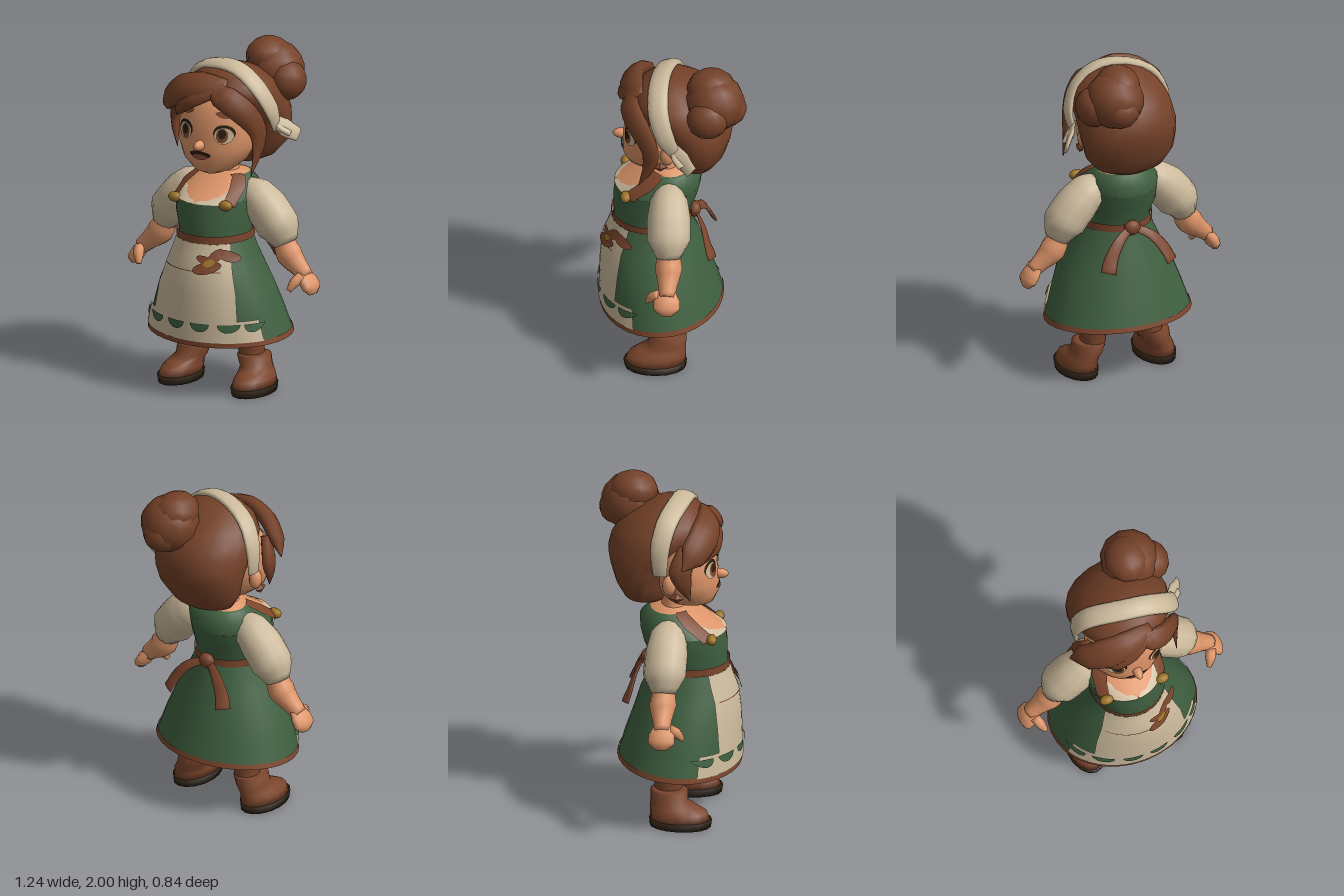
import * as THREE from 'three';

const mat = (name, color) => new THREE.MeshStandardMaterial({ name, color, side: THREE.DoubleSide });

export function createModel() {
  const M = {
    skin: mat('skin', 0xdc9468), hair: mat('hair brown', 0x744128), cream: mat('cream cloth', 0xccba9c),
    green: mat('green cloth', 0x3f6040), leather: mat('leather brown', 0x7c462c), gold: mat('gold', 0x9c7426),
    dark: mat('dark brown', 0x2a1e10), lip: mat('lip', 0x94523c),
  };
  const model = new THREE.Group();
  const V = (x, y, z) => new THREE.Vector3(x, y, z);

  const add = (name, material, geometry) => {
    const mesh = new THREE.Mesh(geometry, material);
    mesh.name = name;
    model.add(mesh);
    return mesh;
  };

  // Skin over rows of points; closed rows wrap round and are capped at both ends when asked
  function grid(rows, closed, capped) {
    const n = rows[0].length, pts = rows.flat(), index = [];
    for (let i = 0; i < rows.length - 1; i++) {
      for (let j = 0; j < (closed ? n : n - 1); j++) {
        const k = (j + 1) % n, a = i * n + j, b = i * n + k;
        index.push(a, b, b + n, a, b + n, a + n);
      }
    }
    if (capped) {
      const last = (rows.length - 1) * n;
      const mid = (row) => row.reduce((s, p) => s.add(p), V(0, 0, 0)).divideScalar(n);
      const c = pts.push(mid(rows[0]), mid(rows[rows.length - 1])) - 2;
      for (let j = 0; j < n; j++) {
        const k = (j + 1) % n;
        index.push(c, k, j, c + 1, last + j, last + k);
      }
    }
    const g = new THREE.BufferGeometry().setFromPoints(pts);
    g.setIndex(index);
    g.computeVertexNormals();
    return g;
  }

  // Body sections are [y, centre x, half width, front z, back z, tilt]; angle 0 faces the front
  function section(rings, y) {
    let i = 0;
    while (i < rings.length - 2 && y > rings[i + 1][0]) i++;
    const A = rings[i], B = rings[i + 1], t = THREE.MathUtils.clamp((y - A[0]) / (B[0] - A[0]), 0, 1);
    return [0, 1, 2, 3, 4, 5].map((k) => THREE.MathUtils.lerp(A[k] ?? 0, B[k] ?? 0, t));
  }
  function surf(rings, y, a, off = 0) {
    const [, cx, rx, zf, zb, tilt] = section(rings, y);
    return V(cx + (rx + off) * Math.sin(a), y + tilt * Math.cos(a), (zf + zb) / 2 + ((zf - zb) / 2 + off) * Math.cos(a));
  }
  function loft(name, material, rings, { y0 = rings[0][0], y1 = rings[rings.length - 1][0], off = 0, from, to, n = 24, cap = false } = {}) {
    const ys = [y0, ...rings.map((r) => r[0]).filter((y) => y > y0 + 1e-4 && y < y1 - 1e-4), y1];
    const closed = from === undefined;
    const rows = ys.map((y) => {
      const t = (y - y0) / (y1 - y0), row = [];
      for (let j = 0; j < (closed ? n : n + 1); j++) {
        const a = closed ? (j / n) * Math.PI * 2 : THREE.MathUtils.lerp(from(t), to(t), j / n);
        row.push(surf(rings, y, a, off));
      }
      return row;
    });
    return add(name, material, grid(rows, closed, cap));
  }
  // Thin oval patch laid on a body section
  function decal(name, material, rings, x, y, w, h, off, turn = 0, half = false) {
    const g = half ? new THREE.CircleGeometry(1, 10, Math.PI, Math.PI) : new THREE.CircleGeometry(1, 14);
    g.scale(w, h, 1).rotateZ(turn).translate(x, y, 0);
    const p = g.attributes.position;
    for (let i = 0; i < p.count; i++) {
      const [, cx, rx] = section(rings, p.getY(i));
      const a = Math.asin(THREE.MathUtils.clamp((p.getX(i) - cx) / rx, -1, 1));
      const q = surf(rings, p.getY(i), a, off);
      p.setXYZ(i, q.x, q.y, q.z);
    }
    g.computeVertexNormals();
    return add(name, material, g);
  }
  // Tapered strand along a path; flat is thickness over width, lying flat around the centre
  function strand(name, material, path, widths, flat, centre, n = 10) {
    const curve = new THREE.CatmullRomCurve3(path.map((p) => V(...p))), m = path.length - 1, rows = [];
    for (let i = 0; i <= m * 3; i++) {
      const t = i / (m * 3), k = Math.min(Math.floor(t * m), m - 1);
      const w = THREE.MathUtils.lerp(widths[k], widths[k + 1], t * m - k);
      const p = curve.getPoint(t), T = curve.getTangent(t);
      const N = p.clone().sub(V(...centre));
      N.addScaledVector(T, -N.dot(T)).normalize();
      const B = T.clone().cross(N), row = [];
      for (let j = 0; j < n; j++) {
        const a = (j / n) * Math.PI * 2;
        row.push(p.clone().addScaledVector(B, w * Math.cos(a)).addScaledVector(N, -w * flat * Math.sin(a)));
      }
      rows.push(row);
    }
    return add(name, material, grid(rows, true, true));
  }
  const ball = (name, material, x, y, z, rx, ry, rz) =>
    add(name, material, new THREE.SphereGeometry(1, 12, 9).scale(rx, ry, rz).translate(x, y, z));

  // Skirt with lining, hem and apron
  const skirt = [[0.335, 0, 0.43, 0.41, -0.285, -0.02], [0.48, 0, 0.385, 0.405, -0.245, -0.01], [0.62, 0, 0.335, 0.4, -0.2],
    [0.75, 0, 0.27, 0.385, -0.16], [0.83, 0, 0.235, 0.355, -0.125], [0.92, 0, 0.2, 0.33, -0.1]];
  loft('skirt', M.green, skirt, { n: 32 });
  loft('skirtLining', M.leather, skirt, { off: -0.012, y1: 0.83, n: 32 });
  loft('hem', M.leather, skirt, { off: 0.006, y1: 0.365, n: 32 });
  loft('apron', M.cream, skirt, { y0: 0.365, y1: 0.9, off: 0.012, from: (t) => -0.72 - 0.25 * t, to: (t) => 0.7 + 0.27 * t, n: 14 });
  loft('apronBorder', M.cream, skirt, { y0: 0.362, y1: 0.48, off: 0.011, from: () => -1.15, to: () => 1.12, n: 18 });
  loft('pocketSeam', M.leather, skirt, { y0: 0.748, y1: 0.753, off: 0.016, from: () => -0.8, to: () => 0.65, n: 12 });
  for (const x of [-0.34, -0.225, -0.075, 0.075, 0.225, 0.33]) decal('borderLeaf', M.green, skirt, x, 0.465, Math.abs(x) > 0.3 ? 0.035 : 0.055, 0.045, 0.02, 0, true);
  for (const [x, y, w, h, r] of [[0.09, 0.775, 0.07, 0.033, 0.25], [0.12, 0.835, 0.05, 0.027, 1.1], [0.17, 0.84, 0.055, 0.024, -0.6], [0.075, 0.82, 0.045, 0.02, -0.3]]) decal('sprigLeaf', M.leather, skirt, x, y, w, h, 0.028, r);
  decal('sprigHeart', M.gold, skirt, 0.1, 0.805, 0.026, 0.02, 0.034, 0.4);

  // Bodice, neckline, neck and belt
  const torso = [[0.9, 0, 0.205, 0.335, -0.1], [0.95, 0, 0.205, 0.335, -0.1], [1.05, -0.01, 0.225, 0.335, -0.14],
    [1.13, -0.01, 0.225, 0.325, -0.16], [1.2, -0.005, 0.21, 0.225, -0.165], [1.25, 0, 0.16, 0.14, -0.12], [1.275, 0, 0.09, 0.1, -0.04]];
  loft('bodice', M.green, torso, { y1: 1.13 });
  loft('bodiceBack', M.green, torso, { y0: 1.13, y1: 1.255, from: () => 0.9, to: () => Math.PI * 2 - 0.9, n: 18 });
  loft('chest', M.skin, torso, { y0: 1.13, off: -0.002 });
  for (const s of [-1, 1]) {
    loft('blouseTrim', M.cream, torso, { y0: 1.125, y1: 1.195, off: 0.005, from: (t) => s > 0 ? 0.8 * t * t - 0.01 : -0.9, to: (t) => s > 0 ? 0.9 : 0.01 - 0.8 * t * t, n: 8 });
    loft('strap', M.leather, torso, { y0: 1.11, y1: 1.262, off: 0.014, from: (t) => s * (0.86 + 0.1 * t) - 0.17 - 0.1 * t, to: (t) => s * (0.86 + 0.1 * t) + 0.17 + 0.1 * t, n: 4 });
    const b = surf(torso, 1.125, s * 0.78, 0.015);
    ball('buckle', M.gold, b.x, b.y, b.z, 0.042, 0.03, 0.03);
  }
  loft('neck', M.skin, [[1.22, 0, 0.115, 0.13, -0.06], [1.28, 0, 0.09, 0.1, -0.04], [1.36, 0, 0.09, 0.12, -0.05]]);
  loft('belt', M.leather, torso, { y0: 0.9, y1: 0.945, off: 0.013 });
  ball('bowKnot', M.leather, 0, 0.925, -0.125, 0.05, 0.045, 0.035);
  for (const s of [-1, 1]) {
    strand('bowTail', M.leather, [[0, 0.93, -0.12], [s * 0.1, 0.88, -0.17], [s * 0.17, 0.79, -0.2], [s * 0.2, 0.72, -0.225]], [0.02, 0.03, 0.04, 0.045], 0.25, [0, 0.8, 0.1], 8);

    // Arms
    const mid = [0, 0.5, 0.03];
    strand('sleeve', M.cream, [[s * 0.13, 1.18, 0.02], [s * 0.2, 1.14, 0.02], [s * 0.28, 1.07, 0.02], [s * 0.36, 0.97, 0.02], [s * 0.405, 0.88, 0.02]], [0.06, 0.105, 0.122, 0.122, 0.07], 1, mid, 12);
    strand('forearm', M.skin, [[s * 0.38, 0.92, 0.02], [s * 0.43, 0.82, 0.02], [s * 0.5, 0.755, 0.025], [s * 0.55, 0.71, 0.03]], [0.06, 0.078, 0.055, 0.045], 1, mid);
    strand('hand', M.skin, [[s * 0.51, 0.75, 0.03], [s * 0.56, 0.69, 0.03], [s * 0.585, 0.65, 0.03], [s * 0.595, 0.615, 0.03]], [0.04, 0.075, 0.075, 0.035], 0.5, [0, 0.5, 0.03]);
    strand('thumb', M.skin, [[s * 0.54, 0.72, 0.07], [s * 0.52, 0.69, 0.11], [s * 0.5, 0.645, 0.14]], [0.03, 0.03, 0.015], 1, mid, 8);

    // Legs and boots
    loft('leg', M.leather, [[0.17, s * 0.18, 0.068, 0.1, -0.06], [0.24, s * 0.175, 0.075, 0.1, -0.06], [0.34, s * 0.16, 0.1, 0.125, -0.08], [0.6, s * 0.12, 0.115, 0.16, -0.08]], { n: 12 });
    loft('boot', M.leather, [[0.04, s * 0.245, 0.108, 0.27, -0.078], [0.085, s * 0.24, 0.1, 0.25, -0.078], [0.115, s * 0.23, 0.09, 0.19, -0.078], [0.14, s * 0.215, 0.088, 0.135, -0.078], [0.2, s * 0.2, 0.094, 0.135, -0.08], [0.205, s * 0.2, 0.075, 0.11, -0.06]], { n: 16, cap: true });
    loft('sole', M.dark, [[0, s * 0.245, 0.108, 0.27, -0.078], [0.045, s * 0.245, 0.114, 0.277, -0.082]], { n: 16, cap: true });
  }

  // Head and face
  const head = [[1.275, 0, 0.05, 0.2, 0.06], [1.3, 0, 0.11, 0.255, 0], [1.36, 0, 0.185, 0.282, -0.05], [1.44, 0, 0.225, 0.285, -0.09],
    [1.52, 0, 0.235, 0.275, -0.1], [1.62, 0, 0.23, 0.268, -0.1], [1.72, 0.01, 0.2, 0.22, -0.1], [1.8, 0.02, 0.1, 0.1, -0.05]];
  loft('head', M.skin, head, { cap: true });
  ball('nose', M.skin, 0, 1.462, 0.288, 0.028, 0.03, 0.052);
  decal('mouth', M.dark, head, 0, 1.408, 0.068, 0.021, 0.006);
  decal('lowerLip', M.lip, head, 0, 1.395, 0.046, 0.016, 0.009);
  for (const s of [-1, 1]) {
    const x = 0.01 + s * 0.12;
    decal('eyeLash', M.dark, head, x, 1.542, 0.056, 0.05, 0.005);
    decal('eyeWhite', M.cream, head, x, 1.528, 0.048, 0.048, 0.008);
    decal('iris', M.leather, head, x - s * 0.008, 1.53, 0.03, 0.043, 0.011);
    decal('pupil', M.dark, head, x - s * 0.008, 1.54, 0.02, 0.028, 0.014);
    decal('brow', M.hair, head, 0.01 + s * 0.11, 1.645, 0.043, 0.015, 0.007, -s * 0.25);
    ball('ear', M.skin, s * 0.23, 1.47, 0.03, 0.035, 0.06, 0.04);
    add('earring', M.leather, new THREE.OctahedronGeometry(1).scale(0.02, 0.03, 0.045).translate(s * 0.235, 1.395, 0.07));
  }

  // Hair mass, bun and swept locks
  loft('hairBack', M.hair, [[1.3, 0.02, 0.12, -0.02, -0.21], [1.335, 0.02, 0.2, -0.005, -0.26], [1.42, 0.03, 0.265, 0.01, -0.305], [1.52, 0.035, 0.285, 0.04, -0.335],
    [1.6, 0.035, 0.29, 0.1, -0.35], [1.68, 0.035, 0.285, 0.2, -0.33], [1.74, 0.035, 0.27, 0.235, -0.29], [1.8, 0.04, 0.235, 0.22, -0.23], [1.86, 0.04, 0.165, 0.16, -0.13], [1.89, 0.04, 0.07, 0.08, -0.04]], { n: 20, cap: true });
  ball('bun', M.hair, 0.17, 1.81, -0.24, 0.17, 0.165, 0.17);
  ball('bunTop', M.hair, 0.14, 1.89, -0.22, 0.125, 0.11, 0.14);
  ball('bunSide', M.hair, 0.28, 1.77, -0.2, 0.105, 0.115, 0.12);
  ball('bunBack', M.hair, 0.17, 1.77, -0.32, 0.11, 0.1, 0.1);
  const locks = [
    [[[0.12, 1.8, 0.19], [-0.03, 1.8, 0.23], [-0.16, 1.755, 0.22], [-0.27, 1.68, 0.17], [-0.345, 1.615, 0.12]], [0.05, 0.085, 0.1, 0.085, 0.005]],
    [[[0.12, 1.8, 0.21], [-0.03, 1.745, 0.27], [-0.14, 1.68, 0.265], [-0.21, 1.59, 0.2]], [0.04, 0.06, 0.06, 0.005]],
    [[[0.03, 1.8, 0.21], [0.14, 1.75, 0.24], [0.23, 1.67, 0.19], [0.285, 1.56, 0.13], [0.29, 1.45, 0.13], [0.28, 1.3, 0.19]], [0.03, 0.075, 0.075, 0.06, 0.04, 0.003]],
    [[[0.05, 1.8, 0.22], [0.12, 1.74, 0.26], [0.2, 1.665, 0.235]], [0.04, 0.05, 0.005]],
    [[[-0.22, 1.7, 0.14], [-0.27, 1.58, 0.1], [-0.265, 1.49, 0.12], [-0.235, 1.385, 0.15]], [0.06, 0.07, 0.045, 0.003]],
  ];
  for (const [path, widths] of locks) strand('hairLock', M.hair, path, widths, 0.5, [0.02, 1.6, 0]);

  // Headband with knotted ends
  strand('headband', M.cream, [[-0.255, 1.54, -0.02], [-0.252, 1.7, -0.02], [-0.175, 1.83, 0.01], [0, 1.89, 0.06], [0.14, 1.878, 0.08], [0.26, 1.79, 0.08], [0.325, 1.66, 0.04], [0.32, 1.54, -0.02]],
    [0.04, 0.055, 0.06, 0.06, 0.06, 0.06, 0.055, 0.035], 0.4, [0.03, 1.6, 0]);
  strand('headbandTail', M.cream, [[0.31, 1.6, 0], [0.355, 1.54, -0.05], [0.41, 1.49, -0.11]], [0.03, 0.055, 0.04], 0.3, [0.03, 1.6, 0], 8);
  strand('headbandTail', M.cream, [[0.31, 1.58, 0], [0.345, 1.54, -0.03], [0.385, 1.51, -0.06]], [0.02, 0.035, 0.03], 0.5, [0.03, 1.4, 0.1], 8);

  return model;
}
